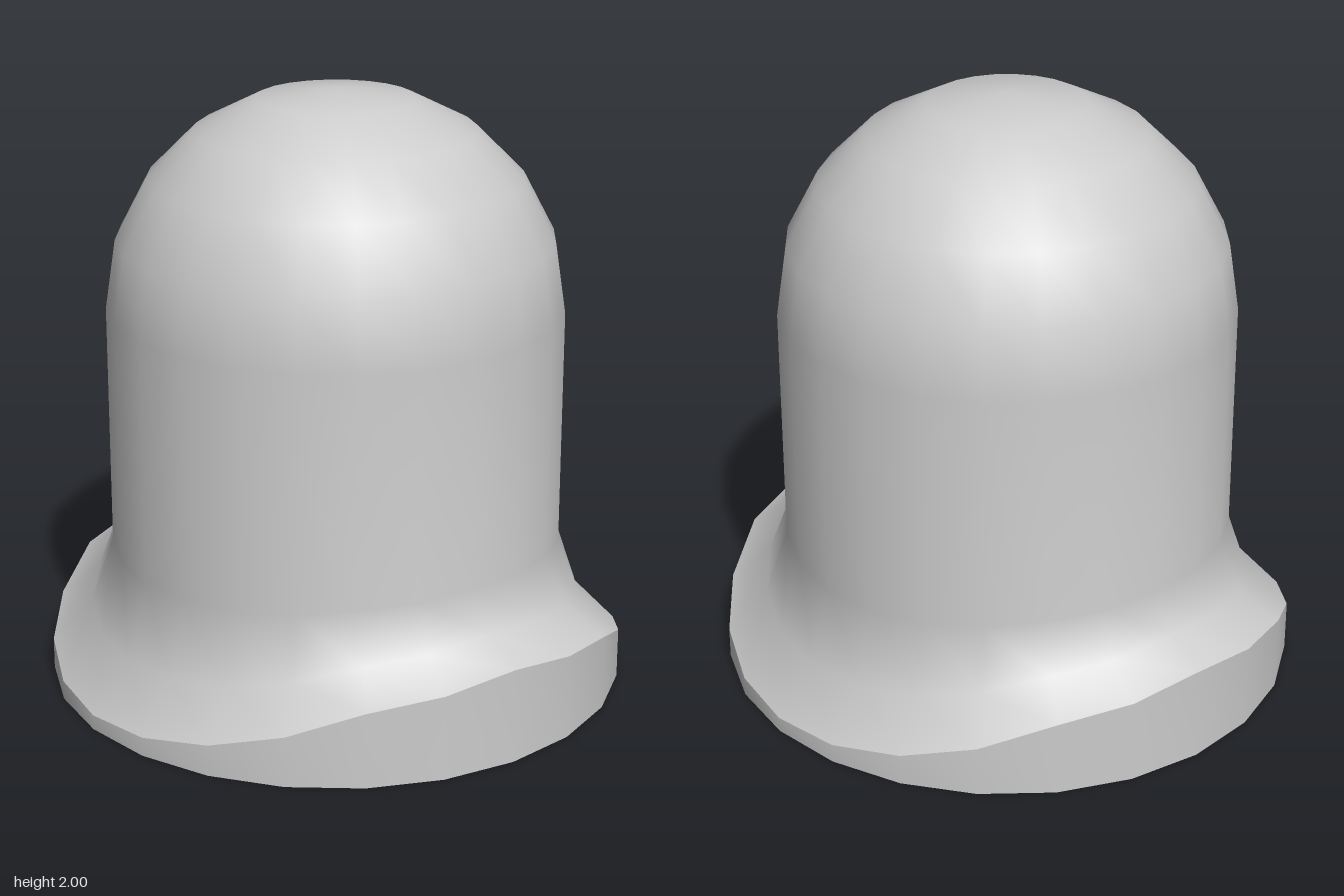
import * as THREE from 'three';
import { mergeVertices } from 'three/addons/utils/BufferGeometryUtils.js';

const SIDES = 24;
const RIM = 0.967;

// Lathe a profile, move its vertices by a rule, then weld the seam and smooth it
function lathe(profile, heightRule) {
  const points = profile.map(([r, y]) => new THREE.Vector2(r, y));
  let geometry = new THREE.LatheGeometry(points, SIDES);
  const pos = geometry.attributes.position;
  for (let i = 0; i < pos.count; i++) {
    const ring = i % points.length;
    const angle = Math.floor(i / points.length) * 2 * Math.PI / SIDES;
    pos.setY(i, heightRule(ring, pos.getY(i), saddle(angle)));
  }
  geometry.deleteAttribute('uv');
  geometry.deleteAttribute('normal');
  geometry = mergeVertices(geometry, 1e-4);
  geometry.computeVertexNormals();
  return geometry;
}

// Saddle shape: 1 at front and back, 0 at the sides, in straight runs across x
function saddle(angle) {
  const x = Math.abs(Math.sin(angle));
  return x < 0.5 ? 1 - 0.48 * x : 0.76 * (1 - x) / 0.5;
}

export function createModel() {
  const group = new THREE.Group();
  const material = new THREE.MeshStandardMaterial({ color: 0xcccccc, side: THREE.DoubleSide });

  const add = (name, geometry) => {
    const mesh = new THREE.Mesh(geometry, material);
    mesh.name = name;
    group.add(mesh);
  };

  // Domed body with a flare whose saddle fades out towards the neck
  const lift = [0.27, 0.18, 0.06];
  add('domedBody', lathe([
    [RIM, 0.05], [0.83, 0.21], [0.755, 0.46], [0.755, 1.28],
    [0.72, 1.51], [0.615, 1.71], [0.46, 1.865], [0.26, 1.967], [0, 2],
  ], (ring, y, s) => y + (lift[ring] ?? 0) * s));

  // Upright band below the flare, flat at the bottom and open underneath
  add('baseBand', lathe([[RIM, 0], [RIM, 0.05]],
    (ring, y, s) => (ring === 1 ? y + lift[0] * s : y)));

  return group;
}
